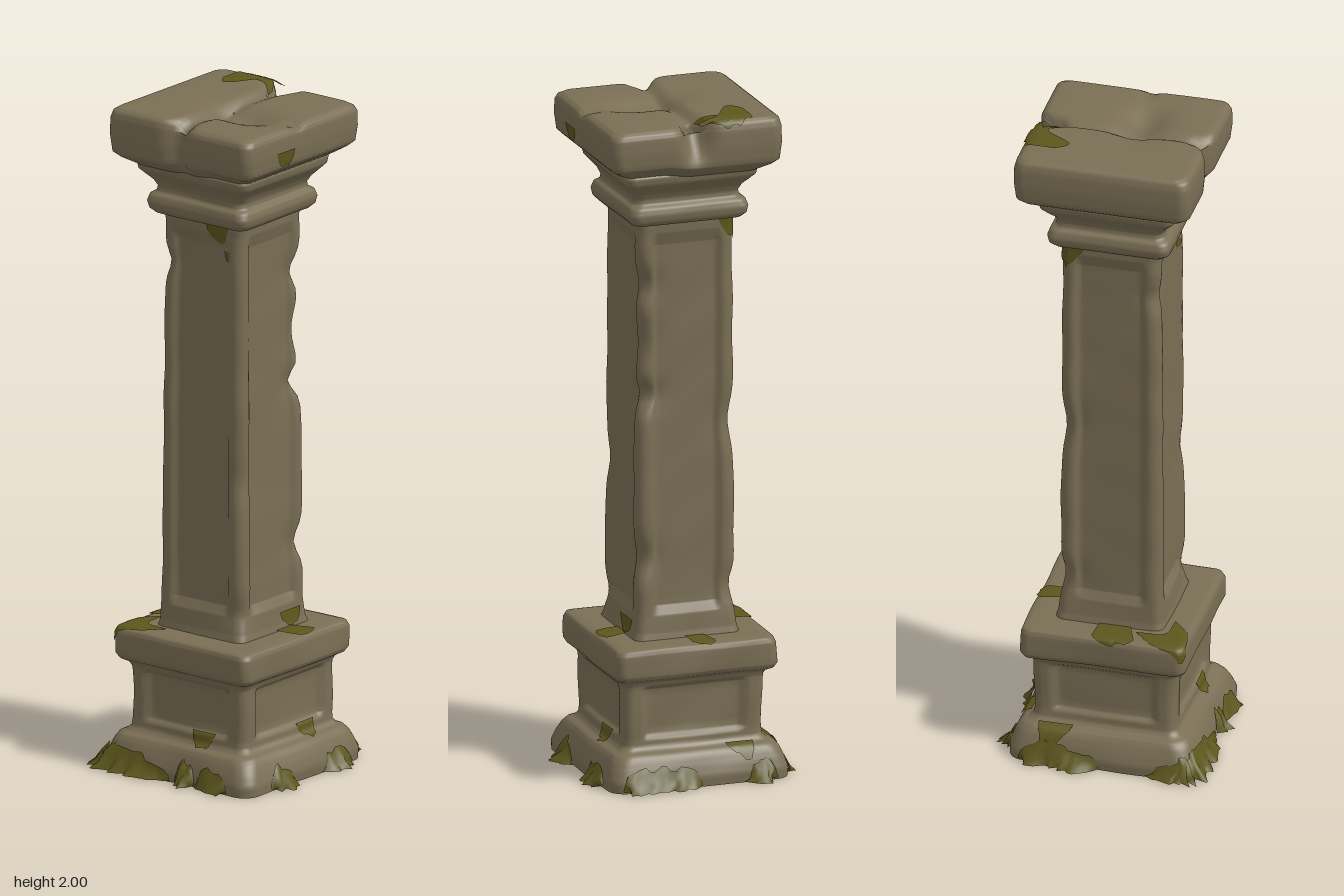
import * as THREE from 'three';

const { PI, sin, cos, exp, floor, min, max, abs } = Math;
const stone = new THREE.MeshStandardMaterial({ color: 0x7a6f55, side: THREE.DoubleSide });
stone.name = 'weathered stone';
const moss = new THREE.MeshStandardMaterial({ color: 0x5c561c, side: THREE.DoubleSide });
moss.name = 'moss';

const hash = (n) => { const v = sin(n * 127.1 + 3.7) * 43758.5453; return v - floor(v); };
const lerp = THREE.MathUtils.lerp;
const smooth = THREE.MathUtils.smoothstep;
const bell = (x, w) => exp(-(x * x) / (w * w));

// Rows of points joined into a surface; closed joins each row end to start
function grid(rows, cols, point, closed) {
  const pos = [], idx = [];
  for (let j = 0; j < rows; j++)
    for (let i = 0; i < cols; i++) pos.push(...point(i, j).toArray());
  for (let j = 0; j < rows - 1; j++)
    for (let i = 0; i < (closed ? cols : cols - 1); i++) {
      const a = j * cols + i, b = j * cols + ((i + 1) % cols);
      idx.push(a, b, b + cols, a, b + cols, a + cols);
    }
  const g = new THREE.BufferGeometry();
  g.setAttribute('position', new THREE.Float32BufferAttribute(pos, 3));
  g.setIndex(idx);
  g.computeVertexNormals();
  return g;
}

// Point on a rounded square; s runs 0..4 over the front, right, back and left
function ring(s, y, h, r, inset = 0, panel = 0.1) {
  s = ((s % 4) + 4) % 4;
  const k = floor(s), f = s - k;
  r = min(r, h * 0.9);
  let n = h, t = lerp(-(h - r), h - r, (f - 0.15) / 0.7);
  if (f < 0.15 || f > 0.85) {
    const a = (f < 0.15 ? f / 0.15 - 1 : (f - 0.85) / 0.15) * PI / 4;
    n = h - r + r * cos(a);
    t = (f < 0.15 ? -1 : 1) * (h - r) + r * sin(a);
  }
  n -= inset * (1 - smooth(abs(t), panel - 0.02, panel));
  const p = k * PI / 2;
  return new THREE.Vector3(n * sin(p) + t * cos(p), y, n * cos(p) - t * sin(p));
}
// Position along the ring for distance t from the middle of side k
const at = (k, t, half = 0.23) => k + 0.5 + 0.35 * t / half;

// Uneven worn stone
function wear(p) {
  const n = sin(p.x * 17 + p.y * 9) * sin(p.z * 19 - p.y * 13) + 0.6 * sin(p.y * 31 + p.x * 23 + p.z * 11);
  const k = 1 + n * 0.009;
  p.x *= k; p.z *= k;
  return p;
}

// Profile rows: [y, half width, corner radius, panel inset, panel half width]
const base = { sub: 3, rows: [
  [0, 0.275, 0.05], [0.03, 0.277, 0.05], [0.06, 0.268, 0.05], [0.085, 0.257, 0.05], [0.1, 0.246, 0.05],
  [0.108, 0.226, 0.03], [0.12, 0.216, 0.03], [0.14, 0.214, 0.03, 0, 0.16], [0.155, 0.214, 0.03, 0.016, 0.16],
  [0.22, 0.214, 0.03, 0.016, 0.16], [0.285, 0.214, 0.03, 0.016, 0.16], [0.3, 0.215, 0.03, 0, 0.16],
  [0.315, 0.222, 0.03], [0.325, 0.24, 0.03], [0.34, 0.248, 0.03], [0.4, 0.248, 0.03], [0.415, 0.242, 0.03],
  [0.42, 0.225, 0.03], [0.421, 0.15, 0.03], [0.421, 0.1, 0.03]], deform: wear };

// Chips: x, y, z, size, depth
const chips = [[0.15, 1.48, -0.15, 0.05, 0.025], [0.15, 1.3, -0.15, 0.1, 0.02], [0.15, 1.15, -0.15, 0.04, 0.03],
  [0.15, 0.66, -0.15, 0.05, 0.02], [0.15, 0.9, 0.15, 0.06, 0.012], [-0.15, 1.52, 0.15, 0.04, 0.015],
  [-0.15, 0.56, -0.15, 0.05, 0.015], [-0.15, 1.05, -0.15, 0.07, 0.015], [0.15, 0.5, 0.15, 0.05, 0.012]];
const shaft = { sub: 10, rows: [
  [0.41, 0.165, 0.03], [0.44, 0.158, 0.03], [0.49, 0.154, 0.03, 0, 0.11], [0.52, 0.153, 0.03, 0.014, 0.11],
  [0.8, 0.151, 0.03, 0.014, 0.11], [1.1, 0.149, 0.03, 0.014, 0.11], [1.35, 0.148, 0.03, 0.014, 0.11],
  [1.6, 0.147, 0.03, 0.014, 0.11], [1.64, 0.146, 0.03, 0, 0.11], [1.68, 0.148, 0.03]],
  deform(p) {
    wear(p);
    for (const [x, y, z, size, depth] of chips) {
      const k = 1 - depth / 0.15 * bell(p.y - y, size) * bell(Math.hypot(p.x - x, p.z - z), 0.07);
      p.x *= k; p.z *= k;
    }
    return p;
  } };

const capital = { sub: 3, rows: [
  [1.665, 0.14, 0.03], [1.672, 0.168, 0.03], [1.685, 0.18, 0.03], [1.705, 0.184, 0.03], [1.725, 0.178, 0.03],
  [1.735, 0.164, 0.03], [1.75, 0.162, 0.03], [1.77, 0.172, 0.03], [1.79, 0.19, 0.03], [1.805, 0.203, 0.03],
  [1.825, 0.207, 0.03], [1.835, 0.2, 0.03]], deform: wear };

// Cap slab: two broken halves, a bite at the back and a worn hollow on the right
const slab = { sub: 3, rows: [
  [1.81, 0.17, 0.03], [1.82, 0.205, 0.03], [1.845, 0.245, 0.035], [1.86, 0.26, 0.035], [1.91, 0.265, 0.035],
  [1.96, 0.264, 0.035], [1.982, 0.258, 0.035], [1.992, 0.244, 0.035], [1.994, 0.2, 0.03], [1.994, 0.15, 0.02],
  [1.994, 0.1, 0.02], [1.994, 0.05, 0.01], [1.994, 0.002, 0.001]],
  deform(p) {
    const { x, z } = p, up = smooth(p.y, 1.84, 1.98), top = smooth(p.y, 1.95, 1.99);
    p.x += 0.005;
    p.z += up * 0.075 * bell(x, 0.035) * smooth(-z, 0.15, 0.26);
    p.z -= smooth(p.y, 1.8, 1.86) * 0.035 * bell(x + 0.01, 0.035) * smooth(z, 0.15, 0.26);
    p.y -= top * (0.01 * smooth(x, -0.01, 0.03) + 0.018 * bell(x, 0.02)
      + 0.035 * bell(z - 0.04, 0.06) * bell(x - 0.07, 0.1)
      + 0.06 * bell(x, 0.03) * bell(z + 0.27, 0.07) + 0.02 * bell(x, 0.03) * bell(z - 0.27, 0.05)
      + 0.012 * bell(x - 0.24, 0.03) * bell(z - 0.02, 0.02));
    p.y += (1 - up) * 0.012 * smooth(x, 0, 0.1);
    return p;
  } };

function sample(part, s, v, lift = 0) {
  const j = min(floor(v), part.rows.length - 2), a = part.rows[j], b = part.rows[j + 1];
  const m = [0, 1, 2, 3, 4].map((i) => lerp(a[i] ?? (i === 4 ? 0.1 : 0), b[i] ?? (i === 4 ? 0.1 : 0), v - j));
  const p = part.deform(ring(s, ...m));
  const d = Math.hypot(p.x, p.z) || 1;
  return p.add(new THREE.Vector3(p.x / d * lift, lift, p.z / d * lift));
}

export function createModel() {
  const model = new THREE.Group();
  model.name = 'mossyColumn';
  const add = (name, geometry, material) => {
    const mesh = new THREE.Mesh(geometry, material);
    mesh.name = name;
    model.add(mesh);
  };

  // Stone parts
  for (const [name, part] of Object.entries({ pedestal: base, shaft, capital, capSlab: slab })) {
    const rows = (part.rows.length - 1) * part.sub + 1;
    add(name, grid(rows, 160, (i, j) => sample(part, i / 40, j / part.sub), true), stone);
  }

  // Ragged moss skirts spreading on the ground: from, to
  const skirts = [[at(3, -0.25), at(3, 0)], [at(3, 0.16), at(4, -0.01)], [at(2, -0.26), at(2, 0.0)],
    [at(2, 0.15), at(2, 0.23)], [at(1, 0.08), at(1, 0.2)], [at(1, -0.17), at(1, -0.06)],
    [at(0, 0.01), at(0, 0.08)], [at(0, 0.09), at(0, 0.2)]];
  skirts.forEach(([s0, s1], k) => {
    const cols = max(9, Math.round((s1 - s0) * 44));
    add('mossSkirt', grid(4, cols, (i, j) => {
      const t = i / (cols - 1), s = lerp(s0, s1, t), e = Math.pow(max(0, sin(PI * t)), 0.4);
      const out = e * (0.02 + 0.035 * hash(i + k * 37));
      const top = 0.012 + e * (0.035 + 0.03 * hash(floor(i / 2) + k * 53));
      if (j === 0) return ring(s, 0.003, 0.277 + out, 0.08);
      if (j === 1) return ring(s, 0.016 * e + 0.004, 0.279 + out * 0.55, 0.07);
      if (j === 2) return ring(s, top * 0.7, 0.283, 0.05);
      return sample(base, s, top < 0.03 ? top / 0.03 : 1 + (top - 0.03) / 0.03, 0.004);
    }), moss);
  });

  // Moss patches clinging to the stone: part, from, to, lower row, upper row
  const patches = [
    [base, at(3, 0.13), at(4, -0.14), 14.2, 17.6], [base, at(3, -0.05), at(3, 0.12), 15, 18],
    [base, at(2, -0.02), at(2, 0.08), 15.6, 18], [base, at(1, 0.0), at(1, 0.13), 16, 18],
    [base, at(0, 0.03), at(0, 0.13), 4, 7.5], [base, at(1, 0.03), at(1, 0.13), 4, 7.3],
    [base, at(2, 0.1), at(2, 0.2), 2, 5], [base, at(3, -0.22), at(3, -0.1), 1.5, 5],
    [shaft, at(0, 0.02, 0.12), at(0, 0.11, 0.12), 6.9, 9], [shaft, at(0, 0.08, 0.12), at(0, 0.11, 0.12), 6.8, 6.95],
    [shaft, at(2, 0.09, 0.12), at(3, -0.07, 0.12), 6.7, 8.8], [shaft, at(1, 0.02, 0.12), at(1, 0.11, 0.12), 0.4, 1.6],
    [slab, at(1, -0.13), at(1, -0.05), 2.5, 4], [slab, at(2, 0.02), at(2, 0.17), 5, 8]];
  patches.forEach(([part, s0, s1, v0, v1], k) => {
    add('mossPatch', grid(9, 15, (i, j) => {
      const t = i / 14, e = Math.pow(max(0, sin(PI * t)), 0.6) * (0.75 + 0.25 * hash(floor(i / 2) + k * 17));
      return sample(part, lerp(s0, s1, t), lerp(v1 - (v1 - v0) * e, v1, j / 8), 0.004);
    }), moss);
  });

  // Moss tongue lying over the back of the cap slab
  add('mossOnTop', grid(9, 15, (i, j) => {
    const t = i / 14, x = lerp(-0.165, -0.005, t);
    const tip = -0.235 + 0.11 * bell(t - 0.2, 0.32);
    const z = lerp(max(tip, -0.238), -0.25, j / 8);
    return new THREE.Vector3(x, 1.999 - 0.012 * smooth(x, -0.05, 0) - 0.006 * smooth(-z, 0.235, 0.25), z);
  }), moss);

  return model;
}
